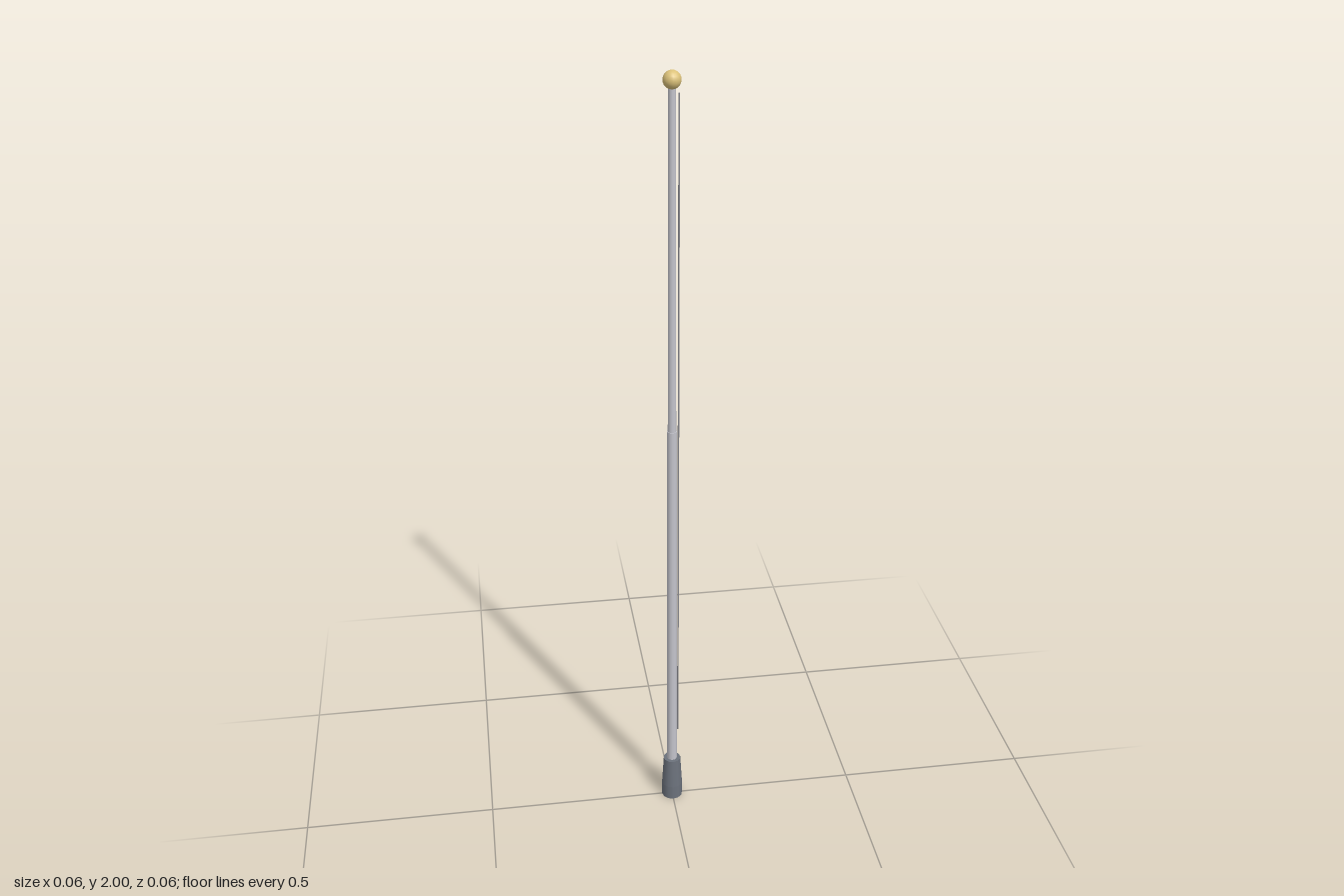
import * as THREE from 'three';

export function createModel() {
  const group = new THREE.Group();
  const metal = new THREE.MeshStandardMaterial({ color: 0xc4c4cc });
  const iron = new THREE.MeshStandardMaterial({ color: 0x6c727c });
  const gold = new THREE.MeshStandardMaterial({ color: 0xdcc27a });
  const cord = new THREE.MeshStandardMaterial({ color: 0x8a8a90 });

  const add = (name, geometry, material, x, y) => {
    const mesh = new THREE.Mesh(geometry, material);
    mesh.name = name;
    mesh.position.set(x, y, 0);
    group.add(mesh);
  };
  // Upright tapered round bar between two heights
  const bar = (name, r0, r1, y0, y1, material, x = 0, sides = 12) =>
    add(name, new THREE.CylinderGeometry(r1, r0, y1 - y0, sides), material, x, (y0 + y1) / 2);

  // Base: foot collar and tapered socket
  bar('baseFoot', 0.028, 0.028, 0, 0.04, iron);
  bar('baseSocket', 0.028, 0.023, 0.04, 0.125, iron);

  // Two-stage pole
  bar('lowerPole', 0.0135, 0.0125, 0.12, 1.13, metal);
  bar('upperPole', 0.0105, 0.0085, 1.13, 1.97, metal);

  // Ball on top
  add('finial', new THREE.SphereGeometry(0.021, 16, 12), gold, 0, 1.979);

  // Hoisting rope beside the pole
  bar('halyard', 0.002, 0.002, 0.22, 1.95, cord, 0.016, 6);

  return group;
}
